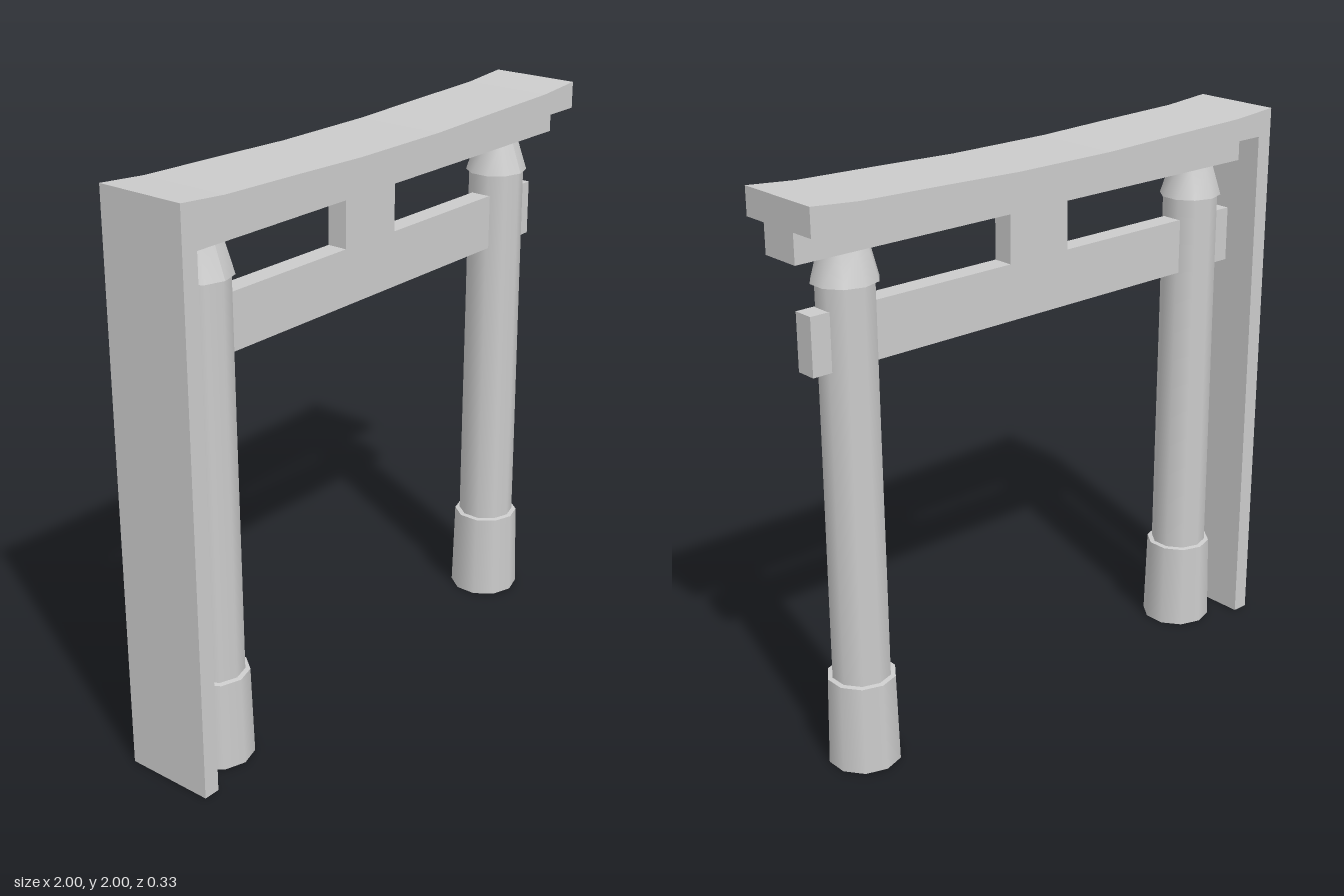
import * as THREE from 'three';

const material = new THREE.MeshStandardMaterial({ color: 0xcccccc, side: THREE.DoubleSide });

export function createModel() {
  const model = new THREE.Group();

  const add = (name, geometry, x = 0, y = 0, z = 0) => {
    const mesh = new THREE.Mesh(geometry, material);
    mesh.name = name;
    mesh.position.set(x, y, z);
    model.add(mesh);
    return mesh;
  };
  // Box given by its x and y limits, centred in z
  const box = (name, x0, x1, y0, y1, depth) =>
    add(name, new THREE.BoxGeometry(x1 - x0, y1 - y0, depth), (x0 + x1) / 2, (y0 + y1) / 2);

  // Sagging top lintel that turns down into a tall panel on one side
  const outline = [
    [-1, 0], [-0.94, 0], [-0.94, 1.905], [1, 1.905], [1, 2], [0.82, 1.985],
    [0.5, 1.977], [0.2, 1.968], [-0.2, 1.968], [-0.5, 1.977], [-0.82, 1.985], [-1, 2],
  ].map(([x, y]) => new THREE.Vector2(x, y));
  const depth = 0.33;
  const lintel = new THREE.ExtrudeGeometry(new THREE.Shape(outline), { depth, bevelEnabled: false });
  add('topLintelAndSidePanel', lintel, 0, 0, -depth / 2);

  // Straight beams and the strut between them
  box('lowerLintel', -0.94, 1, 1.805, 1.905, 0.15);
  box('tieBeam', -0.935, 0.93, 1.425, 1.622, 0.075);
  box('centreStrut', -0.128, 0.128, 1.622, 1.805, 0.075);

  // Ten-sided hollow posts with sleeve bases and tapered caps
  const lathe = (points) =>
    new THREE.LatheGeometry(points.map(([r, y]) => new THREE.Vector2(r, y)), 10);
  for (const [side, x] of [['right', -0.77], ['left', 0.77]]) {
    add(side + 'PostShaft', lathe([[0.102, 0.32], [0.101, 0.7], [0.099, 1.2], [0.098, 1.7]]), x);
    add(side + 'PostBase', lathe([[0.127, 0], [0.119, 0.32]]), x);
    add(side + 'PostBaseRim', lathe([[0.119, 0.32], [0.1, 0.323]]), x);

    // Cap narrows more in depth than in width
    const cap = new THREE.CylinderGeometry(0.087, 0.113, 0.11, 10);
    const p = cap.attributes.position;
    for (let i = 0; i < p.count; i++) p.setZ(i, p.getZ(i) * (p.getY(i) > 0 ? 0.78 : 0.95));
    cap.computeVertexNormals();
    add(side + 'PostCap', cap, x, 1.753);
  }
  return model;
}
